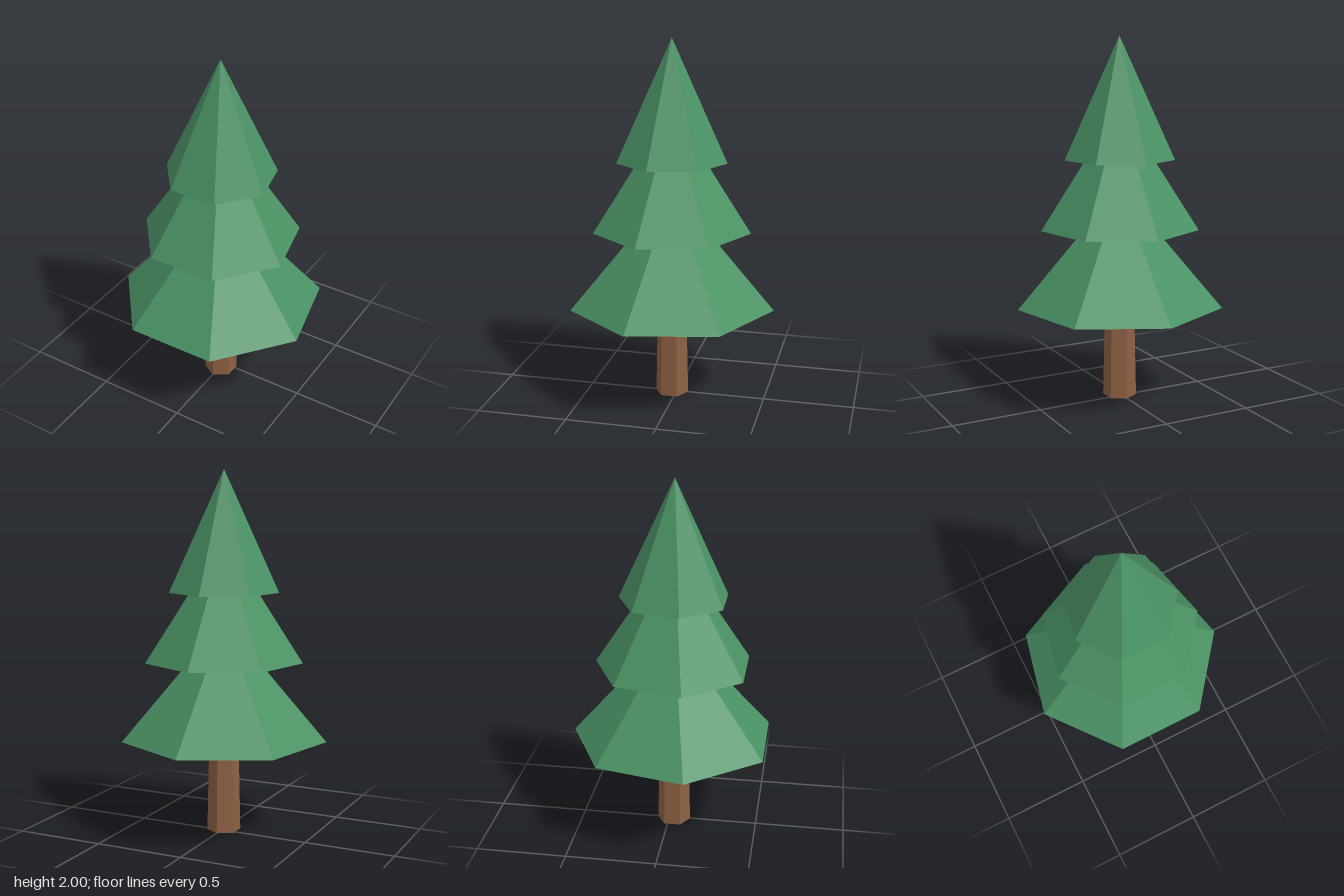
import * as THREE from 'three';

export function createModel() {
  const tree = new THREE.Group();
  tree.name = 'pineTree';

  const leafGreen = new THREE.MeshStandardMaterial({ color: 0x4a9264, flatShading: true });
  leafGreen.name = 'leaf green';
  const barkBrown = new THREE.MeshStandardMaterial({ color: 0x8e6044, flatShading: true });
  barkBrown.name = 'bark brown';

  const axisZ = 0.027; // the seven-sided outline is centred, so its axis sits slightly forward

  // Tapered six-sided trunk, ending inside the lowest tier
  const trunkHeight = 0.6;
  const trunk = new THREE.Mesh(new THREE.CylinderGeometry(0.08, 0.093, trunkHeight, 6), barkBrown);
  trunk.name = 'trunk';
  trunk.position.set(0, trunkHeight / 2, axisZ);
  tree.add(trunk);

  // Three overlapping seven-sided cones, one corner pointing back
  const tiers = [
    { name: 'lowerFoliage', base: 0.53, tip: 1.185, radius: 0.572 },
    { name: 'middleFoliage', base: 0.96, tip: 1.63, radius: 0.438 },
    { name: 'upperFoliage', base: 1.34, tip: 2.0, radius: 0.305 },
  ];
  for (const { name, base, tip, radius } of tiers) {
    const tier = new THREE.Mesh(new THREE.ConeGeometry(radius, tip - base, 7), leafGreen);
    tier.name = name;
    tier.rotation.y = Math.PI;
    tier.position.set(0, (base + tip) / 2, axisZ);
    tree.add(tier);
  }

  return tree;
}
